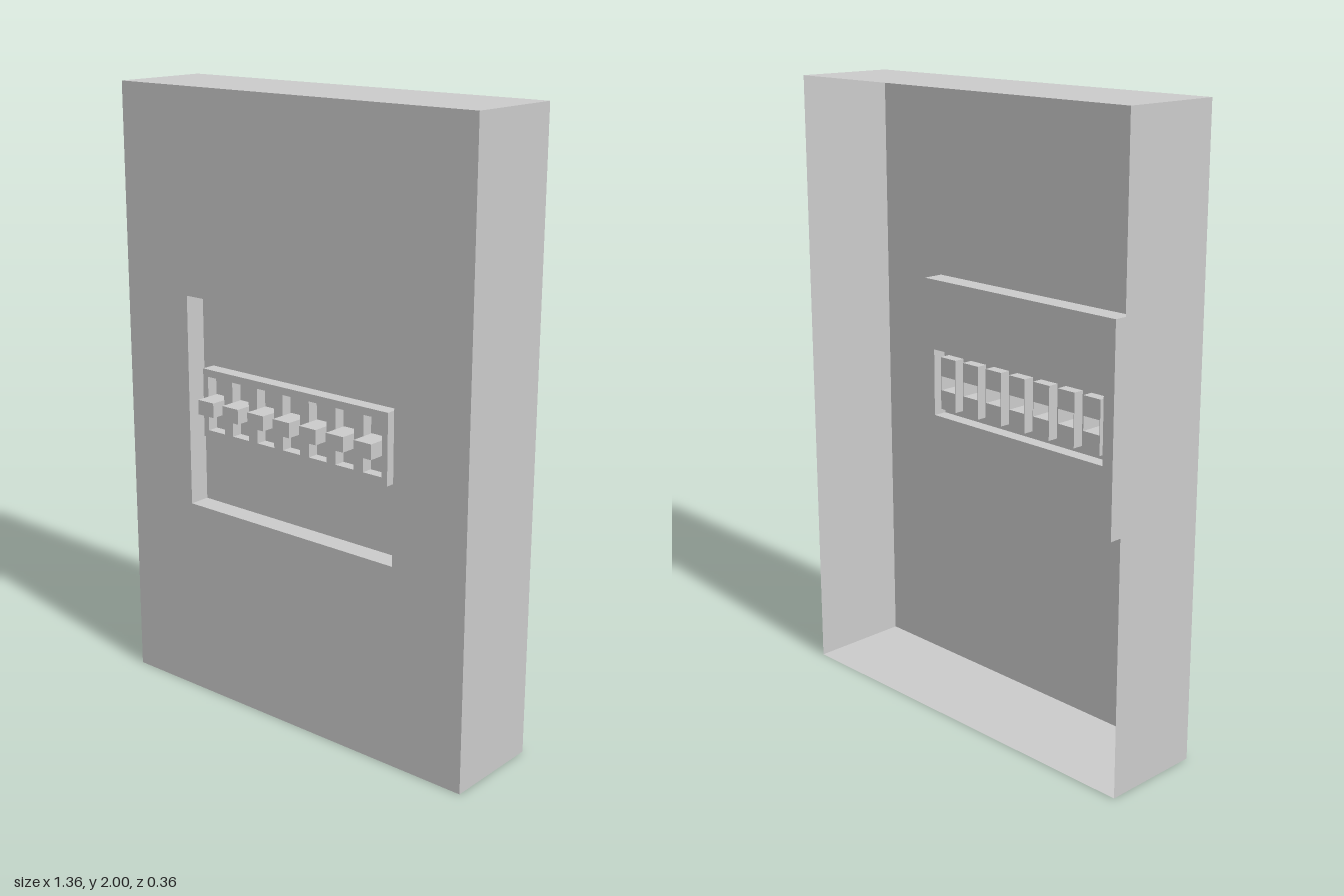
import * as THREE from 'three';

const material = new THREE.MeshStandardMaterial({ color: 0xcccccc, side: THREE.DoubleSide });

// Rectangle by centre and size
const rect = (x, y, w, h) => ({ x, y, w, h });
const corners = ({ x, y, w, h }) => [
  [x - w / 2, y - h / 2], [x + w / 2, y - h / 2], [x + w / 2, y + h / 2], [x - w / 2, y + h / 2],
].map(([px, py]) => new THREE.Vector2(px, py));

function addMesh(parent, name, geometry) {
  const mesh = new THREE.Mesh(geometry, material);
  mesh.name = name;
  parent.add(mesh);
}

// Flat sheet facing +z with rectangular holes
function addSheet(parent, name, r, z, holes = []) {
  const shape = new THREE.Shape(corners(r));
  for (const hole of holes) shape.holes.push(new THREE.Path(corners(hole).reverse()));
  addMesh(parent, name, new THREE.ShapeGeometry(shape).translate(0, 0, z));
}

// Four thin walls around a rectangle; outward walls face away from its centre
function addWalls(parent, name, r, zBack, zFront, outward = true) {
  const c = corners(r);
  if (!outward) c.reverse();
  const pos = [];
  c.forEach((a, i) => {
    const b = c[(i + 1) % 4];
    pos.push(a.x, a.y, zBack, b.x, b.y, zBack, b.x, b.y, zFront);
    pos.push(a.x, a.y, zBack, b.x, b.y, zFront, a.x, a.y, zFront);
  });
  const geometry = new THREE.BufferGeometry();
  geometry.setAttribute('position', new THREE.Float32BufferAttribute(pos, 3));
  geometry.computeVertexNormals();
  addMesh(parent, name, geometry);
}

export function createModel() {
  const model = new THREE.Group();
  model.name = 'switchPanel';

  // Depth levels, back to front
  const zBack = -0.18, zRecess = 0.085, zSlot = 0.095, zFrame = 0.132, zFront = 0.156, zToggle = 0.18;
  const midY = 1.003;
  const body = rect(0, 1, 1.36, 2);
  const recess = rect(0, midY, 0.83, 0.695);
  const frame = rect(0, midY, 0.748, 0.226);

  // Hollow housing, open at the back
  addSheet(model, 'housingFront', body, zFront, [recess]);
  addWalls(model, 'housingSides', body, zBack, zFront);

  // Sunken plate
  addWalls(model, 'recessWalls', recess, zRecess, zFront, false);
  addSheet(model, 'recessFloor', recess, zRecess, [frame]);

  // Raised switch block with a row of slots
  const slots = [];
  for (let i = -3; i <= 3; i++) slots.push(rect(i * 0.106, midY, 0.07, 0.178));
  addWalls(model, 'switchBlockSides', frame, zRecess, zFrame);
  addSheet(model, 'switchBlockFront', frame, zFrame, slots);

  // Slots with hollow toggles
  slots.forEach((slot, i) => {
    const unit = new THREE.Group();
    unit.name = `switch${i + 1}`;
    const toggle = rect(slot.x, midY, 0.066, 0.048);
    addWalls(unit, 'slotWalls', slot, zSlot, zFrame, false);
    addSheet(unit, 'slotFloor', slot, zSlot, [toggle]);
    addWalls(unit, 'toggleSides', toggle, zSlot, zToggle);
    addSheet(unit, 'toggleFront', toggle, zToggle);
    model.add(unit);
  });

  return model;
}
